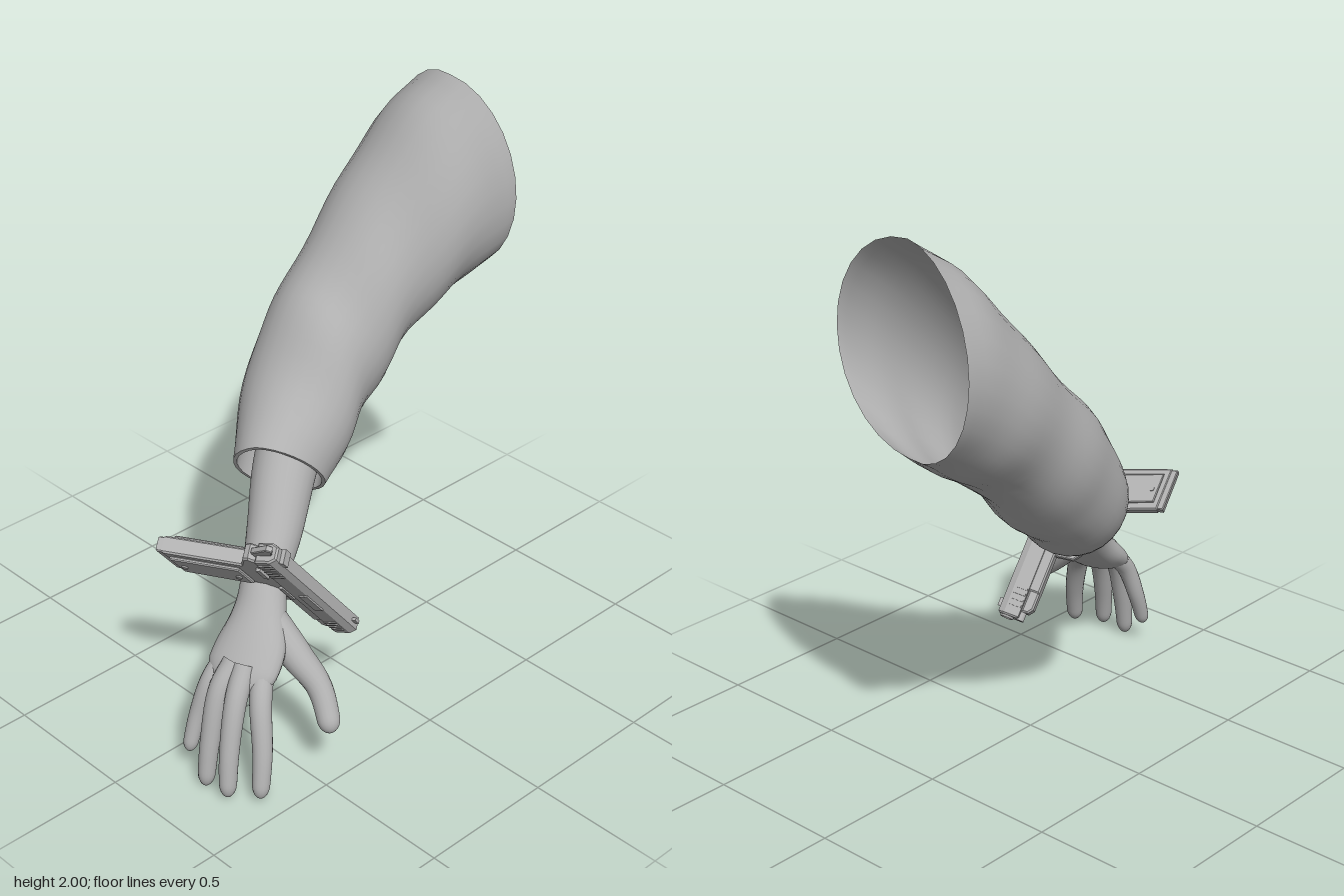
import * as THREE from 'three';
import { toCreasedNormals } from 'three/addons/utils/BufferGeometryUtils.js';

const V = (x, y, z) => new THREE.Vector3(x, y, z);
const grey = new THREE.MeshStandardMaterial({ color: 0xb0b0b0, side: THREE.DoubleSide });
grey.name = 'plain grey';

function add(parent, name, geometry, x = 0, y = 0, z = 0) {
  const mesh = new THREE.Mesh(geometry, grey);
  mesh.name = name;
  mesh.position.set(x, y, z);
  parent.add(mesh);
  return mesh;
}

// Skin over a list of closed rings, each with the same number of points
function loft(rings) {
  const n = rings[0].length, index = [];
  for (let i = 0; i < rings.length - 1; i++) {
    for (let j = 0; j < n; j++) {
      const a = i * n + j, b = i * n + (j + 1) % n;
      index.push(a, b, a + n, b, b + n, a + n);
    }
  }
  const g = new THREE.BufferGeometry().setFromPoints(rings.flat());
  g.setIndex(index);
  g.computeVertexNormals();
  return g;
}

// Rounded limb through points [x, y, z, halfWidth, halfThickness]
function limb(points, roundFrom, steps = 26, sides = 18) {
  const path = new THREE.CatmullRomCurve3(points.map(p => V(p[0], p[1], p[2])));
  const size = new THREE.CatmullRomCurve3(points.map(p => V(p[3], p[4], 0)), false, 'catmullrom');
  const rings = [];
  for (let i = 0; i <= steps; i++) {
    const u = Math.sin(i / steps * Math.PI / 2);
    const c = path.getPoint(u), d = path.getTangent(u), s = size.getPoint(u);
    const k = u > roundFrom ? Math.sqrt(Math.max(0, 1 - ((u - roundFrom) / (1 - roundFrom)) ** 2)) : 1;
    const across = V(0.2, -0.1, 0.97).addScaledVector(d, -V(0.2, -0.1, 0.97).dot(d)).normalize();
    const thick = d.clone().cross(across);
    rings.push(Array.from({ length: sides }, (_, j) => {
      const a = j / sides * Math.PI * 2;
      return c.clone().addScaledVector(across, Math.cos(a) * s.x * k).addScaledVector(thick, Math.sin(a) * s.y * k);
    }));
  }
  return loft(rings);
}

function buildSleeve(group) {
  // upper x, y, lower x, y, front z, back z, front x shift, back x shift
  const sections = [
    [-0.27, 0.97, -0.04, 0.70, 0.05, -0.21, 0.05, -0.07],
    [-0.10, 1.12, 0.07, 0.75, 0.035, -0.36, 0.05, -0.06],
    [0.03, 1.29, 0.18, 0.85, 0.01, -0.42, 0.04, -0.05],
    [0.15, 1.41, 0.31, 0.94, 0.0, -0.45, 0.03, -0.04],
    [0.30, 1.56, 0.43, 1.08, 0.015, -0.47, 0.01, -0.02],
    [0.45, 1.74, 0.56, 1.17, 0.06, -0.49, 0, 0.01],
    [0.59, 1.90, 0.66, 1.24, 0.11, -0.5, 0, 0.04],
    [0.72, 2.0, 0.73, 1.30, 0.17, -0.49, -0.015, 0.085],
  ];
  const curve = k => new THREE.CatmullRomCurve3(sections.map(s => V(s[k], s[k + 1], 0)), false, 'catmullrom');
  const [upper, lower, depth, shift] = [0, 2, 4, 6].map(curve);
  const rings = [], steps = 28, sides = 28;
  for (let i = 0; i <= steps; i++) {
    const u = i / steps;
    const U = upper.getPoint(u), L = lower.getPoint(u), D = depth.getPoint(u), S = shift.getPoint(u);
    const fold = Math.sin(u * Math.PI) * 0.02;
    rings.push(Array.from({ length: sides }, (_, j) => {
      const a = j / sides * Math.PI * 2, c = Math.cos(a), s = Math.sin(a);
      const r = 1 + fold * Math.sin(u * 24 + 2 * a);
      const dx = (s > 0 ? S.x : -S.y) * s * r;
      return V((U.x + L.x) / 2 + (U.x - L.x) / 2 * c * r + dx,
        (U.y + L.y) / 2 + (U.y - L.y) / 2 * c * r + dx * 0.6 * (1 - u),
        (D.x + D.y) / 2 + (D.x - D.y) / 2 * s * r);
    }));
  }
  add(group, 'sleeve', loft(rings));
  // turned-in hem of the cuff
  const centre = rings[0].reduce((t, p) => t.add(p), V(0, 0, 0)).divideScalar(sides);
  const inner = rings[0].map(p => p.clone().lerp(centre, 0.08));
  const deep = inner.map(p => p.clone().add(V(0.07, 0.07, -0.045)));
  add(group, 'cuffHem', toCreasedNormals(loft([rings[0], inner, deep]), 0.6));
}

function buildHand(group) {
  add(group, 'forearmAndPalm', limb([
    [-0.02, 0.98, -0.14, 0.115, 0.12], [-0.16, 0.84, -0.06, 0.11, 0.112], [-0.29, 0.70, 0.03, 0.095, 0.098],
    [-0.40, 0.60, 0.10, 0.08, 0.077], [-0.47, 0.52, 0.15, 0.092, 0.068],
    [-0.56, 0.435, 0.2, 0.125, 0.062], [-0.675, 0.34, 0.235, 0.125, 0.045]], 0.9, 40, 24));
  const fingers = {
    indexFinger: [[-0.58, 0.40, 0.28], [-0.635, 0.32, 0.33], [-0.68, 0.17, 0.385], [-0.72, 0.02, 0.415]],
    middleFinger: [[-0.62, 0.42, 0.24], [-0.69, 0.33, 0.27], [-0.75, 0.17, 0.30], [-0.785, 0.01, 0.325]],
    ringFinger: [[-0.63, 0.42, 0.20], [-0.70, 0.34, 0.20], [-0.755, 0.17, 0.21], [-0.79, 0, 0.22]],
    littleFinger: [[-0.60, 0.42, 0.14], [-0.68, 0.34, 0.135], [-0.73, 0.21, 0.12], [-0.775, 0.08, 0.12]],
    thumb: [[-0.46, 0.50, 0.2], [-0.45, 0.41, 0.30], [-0.435, 0.32, 0.40], [-0.465, 0.195, 0.49]],
  };
  for (const [name, pts] of Object.entries(fingers)) {
    const r = name === 'thumb' ? [0.055, 0.055, 0.044, 0.038]
      : name === 'littleFinger' ? [0.034, 0.034, 0.03, 0.025] : [0.04, 0.038, 0.034, 0.029];
    add(group, name, limb(pts.map((p, i) => [...p, r[i], r[i]]), 0.9));
  }
}

// Flat outline extruded evenly to both sides of z = 0
function plate(points, width, bevel = 0.006, hole) {
  const shape = new THREE.Shape(points.map(p => new THREE.Vector2(...p)));
  if (hole) shape.holes.push(new THREE.Path(hole.map(p => new THREE.Vector2(...p))));
  const g = new THREE.ExtrudeGeometry(shape, {
    depth: width - 2 * bevel, bevelEnabled: bevel > 0, bevelSize: bevel, bevelThickness: bevel,
    bevelOffset: -bevel, bevelSegments: 1,
  });
  return g.translate(0, 0, bevel - width / 2);
}

function buildPistol(group) {
  // muzzle along local +x, sights along local +y
  const pistol = new THREE.Group();
  pistol.name = 'pistol';
  const a = V(0.42, -0.52, -0.045).normalize();
  const up = V(0.38, 0.21, 0.9).addScaledVector(a, -V(0.38, 0.21, 0.9).dot(a)).normalize();
  pistol.quaternion.setFromRotationMatrix(new THREE.Matrix4().makeBasis(a, up, a.clone().cross(up)));
  pistol.position.set(-0.33, 0.57, 0.215);
  group.add(pistol);

  const slide = plate([[-0.035, -0.02], [0.035, -0.02], [0.035, 0.035], [0.022, 0.058], [-0.022, 0.058], [-0.035, 0.035]], 0.66);
  add(pistol, 'slide', slide.rotateY(Math.PI / 2));
  // frame with raked grip
  add(pistol, 'frame', plate([[-0.31, -0.015], [0.22, -0.015], [0.22, -0.06], [-0.08, -0.06], [-0.115, -0.08],
    [-0.215, -0.345], [-0.375, -0.345], [-0.285, -0.09], [-0.335, -0.06], [-0.34, -0.04]], 0.06));
  add(pistol, 'triggerGuard', plate([[-0.12, -0.055], [0.07, -0.055], [0.06, -0.125], [0.03, -0.147], [-0.14, -0.147]],
    0.034, 0.004, [[-0.1, -0.06], [-0.11, -0.132], [0.025, -0.132], [0.046, -0.115], [0.05, -0.06]]));
  add(pistol, 'trigger', plate([[-0.06, -0.055], [-0.03, -0.055], [-0.03, -0.12], [-0.045, -0.12]], 0.02, 0.003));
  add(pistol, 'hammer', plate([[-0.32, 0], [-0.32, 0.035], [-0.36, 0.055], [-0.375, 0.04], [-0.345, -0.03], [-0.32, -0.03]], 0.022, 0.003));
  add(pistol, 'magazineBase', plate([[-0.217, -0.34], [-0.37, -0.34], [-0.377, -0.365], [-0.222, -0.365]], 0.052, 0.004));
  add(pistol, 'rearSight', new THREE.BoxGeometry(0.035, 0.018, 0.05), -0.285, 0.064);
  add(pistol, 'frontSight', new THREE.BoxGeometry(0.03, 0.016, 0.012), 0.29, 0.064);
  add(pistol, 'muzzleRing', new THREE.TorusGeometry(0.02, 0.006, 8, 20).rotateY(Math.PI / 2), 0.332, 0.025);
  add(pistol, 'springPlug', new THREE.CylinderGeometry(0.017, 0.017, 0.2, 16).rotateZ(Math.PI / 2), 0.232, -0.022);
  add(pistol, 'dustCover', plate([[0.1, -0.02], [0.3, -0.02], [0.3, -0.045], [0.28, -0.06], [0.1, -0.06]], 0.05));
  add(pistol, 'ejectionPort', new THREE.BoxGeometry(0.13, 0.03, 0.008), 0.03, 0.022, 0.036);

  for (const side of [-1, 1]) {
    add(pistol, 'gripPanel', plate([[-0.15, -0.105], [-0.235, -0.325], [-0.345, -0.325], [-0.265, -0.105]], 0.014, 0.004), 0, 0, side * 0.036);
    for (const [x, y] of [[-0.21, -0.13], [-0.28, -0.3]]) {
      add(pistol, 'gripScrew', new THREE.CylinderGeometry(0.011, 0.011, 0.006, 12).rotateX(Math.PI / 2), x, y, side * 0.045);
    }
    // grip ridges on the slide, behind and in front
    for (let i = 0; i < 7; i++) add(pistol, 'rearRidge', new THREE.BoxGeometry(0.007, 0.05, 0.006), -0.3 + i * 0.016, 0.008, side * 0.036);
    for (let i = 0; i < 4; i++) add(pistol, 'frontRidge', new THREE.BoxGeometry(0.009, 0.045, 0.006), 0.22 + i * 0.022, 0.006, side * 0.036);
    add(pistol, 'safetyLever', new THREE.BoxGeometry(0.07, 0.016, 0.012), -0.23, -0.035, side * 0.035);
    add(pistol, 'slideStop', new THREE.BoxGeometry(0.1, 0.014, 0.01), -0.05, -0.03, side * 0.033);
  }
}

export function createModel() {
  const model = new THREE.Group();
  model.name = 'armWithPistol';
  buildSleeve(model);
  buildHand(model);
  buildPistol(model);
  return model;
}
